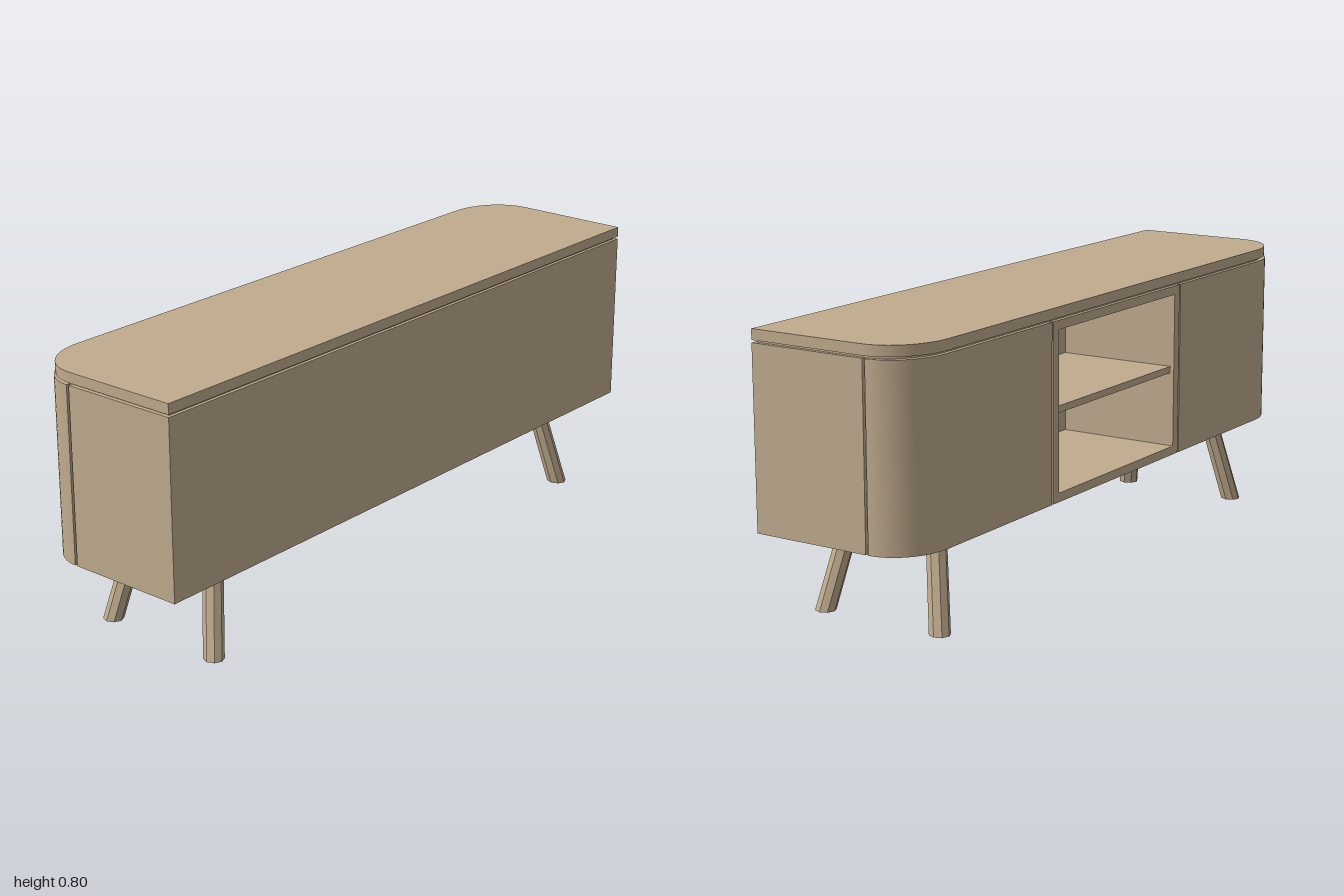
import * as THREE from 'three';
import { toCreasedNormals } from 'three/addons/utils/BufferGeometryUtils.js';

const wood = new THREE.MeshStandardMaterial({ color: 0xc0ab8e });
wood.name = 'wood';

const BOTTOM = 0.255, BODY_TOP = 0.766;

// Plan shapes are drawn as (x, -z) and extruded upwards.
function raise(shape, y0, y1) {
  const g = new THREE.ExtrudeGeometry(shape, { depth: y1 - y0, bevelEnabled: false, curveSegments: 20 });
  g.rotateX(-Math.PI / 2).translate(0, y0, 0);
  return toCreasedNormals(g, 0.5);
}

// Quarter ellipse from the side towards the back, as plan points.
function corner(hx, back, rx, rz) {
  return Array.from({ length: 17 }, (_, i) => {
    const a = (i / 16) * Math.PI / 2;
    return new THREE.Vector2(hx - rx + rx * Math.cos(a), back - rz + rz * Math.sin(a));
  });
}

const pt = (x, y) => new THREE.Vector2(x, y);
const mirrored = (pts) => pts.map((p) => pt(-p.x, p.y));

// Symmetric outline from its right half, listed from the flat side round to the back.
const symmetric = (half) => new THREE.Shape([...half, ...mirrored(half).reverse()]);

export function createModel() {
  const model = new THREE.Group();
  model.name = 'sideboard';
  const add = (name, geometry) => {
    const m = new THREE.Mesh(geometry, wood);
    m.name = name;
    model.add(m);
    return m;
  };
  const box = (name, w, y0, y1, z0, z1) => {
    const g = new THREE.BoxGeometry(w, y1 - y0, z1 - z0);
    add(name, g.translate(0, (y0 + y1) / 2, (z0 + z1) / 2));
  };

  // Top board and the recessed neck under it
  add('topBoard', raise(symmetric([pt(1, -0.25), ...corner(1, 0.25, 0.17, 0.145)]), 0.773, 0.803));
  add('topNeck', raise(symmetric([pt(0.988, -0.24), ...corner(0.988, 0.238, 0.16, 0.135)]), BODY_TOP, 0.773));

  // Carcass with the open niche cut into it, stepped in behind the doors
  add('carcass', raise(symmetric([
    pt(1, -0.25), pt(1, 0.107), pt(0.988, 0.107),
    ...corner(0.988, 0.238, 0.15, 0.125),
    pt(0.315, 0.238), pt(0.315, -0.13),
  ]), BOTTOM, BODY_TOP));

  // Curved doors
  const door = [
    pt(0.349, 0.25), ...corner(1, 0.25, 0.16, 0.135).reverse(),
    ...corner(0.987, 0.237, 0.148, 0.122), pt(0.349, 0.237),
  ];
  add('leftDoor', raise(new THREE.Shape(door), BOTTOM, BODY_TOP));
  add('rightDoor', raise(new THREE.Shape(mirrored(door)), BOTTOM, BODY_TOP));

  // Niche frame, floor, ceiling and shelf
  const rect = (Path, hx, y0, y1) => new Path([pt(-hx, y0), pt(hx, y0), pt(hx, y1), pt(-hx, y1)]);
  const frame = rect(THREE.Shape, 0.343, BOTTOM, BODY_TOP);
  frame.holes.push(rect(THREE.Path, 0.315, 0.281, 0.74));
  add('nicheFrame', new THREE.ExtrudeGeometry(frame, { depth: 0.012, bevelEnabled: false }).translate(0, 0, -0.25));
  box('nicheFloor', 0.63, BOTTOM, 0.281, -0.238, 0.13);
  box('nicheCeiling', 0.63, 0.74, BODY_TOP, -0.238, 0.13);
  box('shelf', 0.63, 0.503, 0.523, -0.238, 0.13);

  // Base under the body
  box('base', 1.48, 0.192, BOTTOM, -0.125, 0.125);

  // Splayed eight-sided legs, sheared so both ends stay level
  for (const sx of [-1, 1]) for (const sz of [-1, 1]) {
    const g = new THREE.CylinderGeometry(0.029, 0.03, BOTTOM, 8).toNonIndexed();
    g.translate(0, BOTTOM / 2, 0);
    const p = g.attributes.position;
    for (let i = 0; i < p.count; i++) {
      const t = p.getY(i) / BOTTOM;
      p.setX(i, p.getX(i) * 0.95 + sx * (0.798 - 0.058 * t));
      p.setZ(i, p.getZ(i) + sz * (0.19 - 0.05 * t));
    }
    g.computeVertexNormals();
    add((sz > 0 ? 'front' : 'back') + (sx > 0 ? 'Left' : 'Right') + 'Leg', g);
  }
  return model;
}
